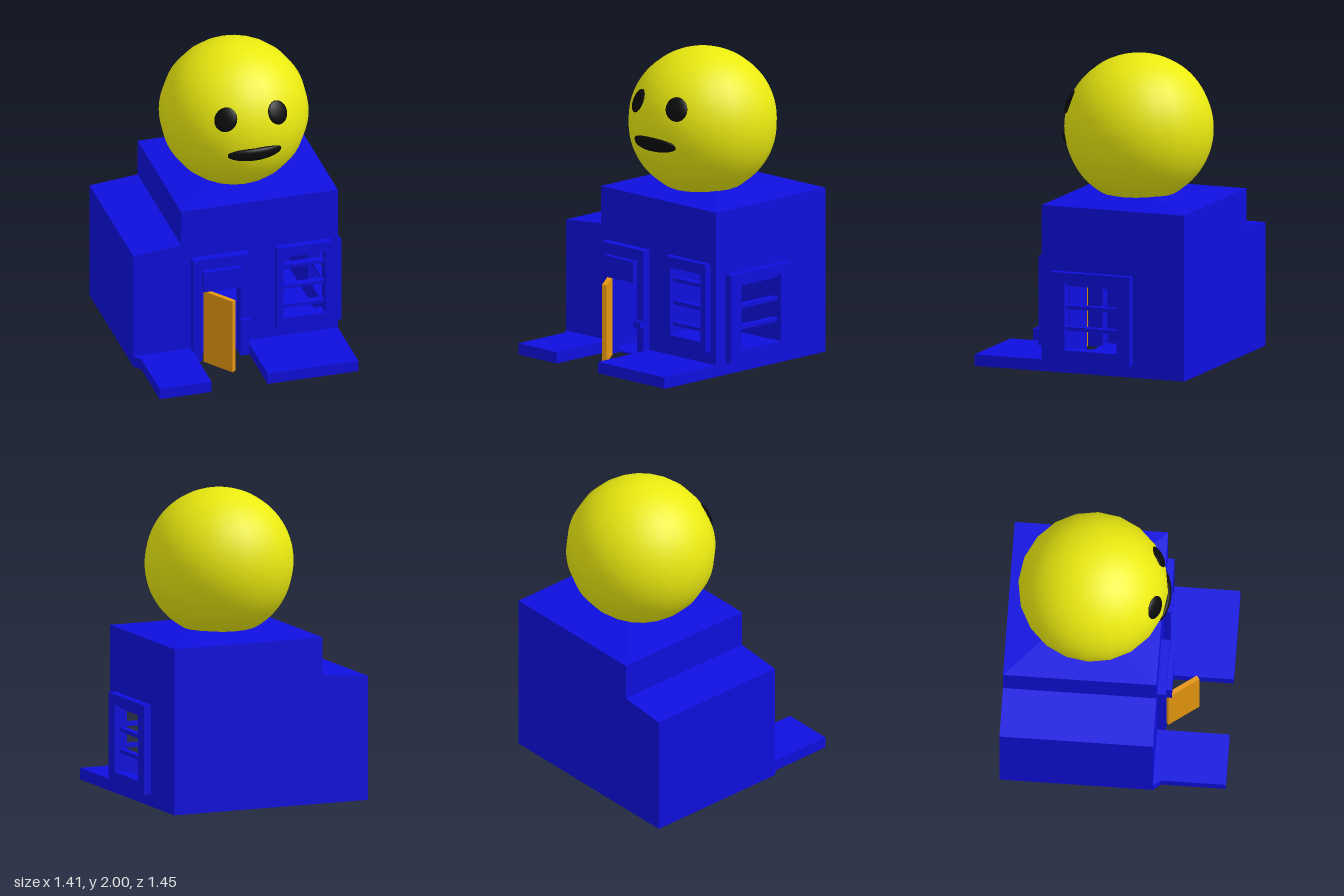
import * as THREE from 'three';

const mat = (color) => new THREE.MeshStandardMaterial({ color });
const blue = mat(0x0f0fe0), yellow = mat(0xeaea10), orange = mat(0xe6960f), black = mat(0x0a0a0a);

const poly = (pts) => pts.map(([x, y]) => new THREE.Vector2(x, y));
const rect = (x0, y0, x1, y1) => poly([[x0, y0], [x1, y0], [x1, y1], [x0, y1]]);

function extrude(outline, holes, depth) {
  const shape = new THREE.Shape(outline);
  for (const h of holes) shape.holes.push(new THREE.Path(h));
  return new THREE.ExtrudeGeometry(shape, { depth, bevelEnabled: false });
}

export function createModel() {
  const root = new THREE.Group();
  const add = (name, geo, material = blue, parent = root) => {
    const m = new THREE.Mesh(geo, material);
    m.name = name;
    parent.add(m);
    return m;
  };
  const box = (name, x0, x1, y0, y1, z0, z1, parent = root) =>
    add(name, new THREE.BoxGeometry(x1 - x0, y1 - y0, z1 - z0)
      .translate((x0 + x1) / 2, (y0 + y1) / 2, (z0 + z1) / 2), blue, parent);

  // Main body: hollow, with real openings
  const L = -0.39, R = 0.655, B = -0.725, F = 0.26, H = 1.08, T = 0.04;
  const doorway = poly([[L, 0], [-0.265, 0], [-0.265, 0.66], [-0.01, 0.66], [-0.01, 0], [R, 0], [R, H], [L, H]]);
  add('frontWall', extrude(doorway, [rect(0.28, 0.22, 0.56, 0.665)], T).translate(0, 0, F - T));
  // Profile x is -z once the wall is turned to face +x
  add('windowWall', extrude(rect(-F + T, 0, -B - T, H), [rect(-0.085, 0.155, 0.275, 0.595)], T)
    .rotateY(Math.PI / 2).translate(R - T, 0, 0));
  box('backWall', L, R, 0, H, B, B + T);
  box('innerWall', L, L + T, 0, H, B + T, F - T);
  box('floor', L + T, R - T, 0, 0.012, B + T, F - T);
  box('ceiling', L + T, R - T, H - T, H - 0.002, B + T, F - T);

  // Very low pyramid roof
  const roof = new THREE.ConeGeometry(Math.SQRT1_2, 0.04, 4, 1).rotateY(Math.PI / 4)
    .scale(R - L, 1, F - B).translate((L + R) / 2, H + 0.02, (F + B) / 2).toNonIndexed();
  roof.computeVertexNormals();
  add('roof', roof);

  // Lower side wing with a sloping roof
  add('sideWing', extrude(poly([[-0.71, 0], [L, 0], [L, 0.835], [-0.71, 0.805]]), [], F - B).translate(0, 0, B));

  // Front paving, outlined from above as (x, -z)
  const slab = (name, pts) => add(name, extrude(poly(pts), [], 0.075).rotateX(-Math.PI / 2));
  slab('leftPaving', [[-0.71, -F], [-0.67, -0.31], [-0.67, -0.725], [-0.325, -0.725], [-0.325, -F]]);
  slab('rightPaving', [[0.05, -F], [0.05, -0.725], [R, -0.725], [R, -F]]);

  // Window with slats, built facing +z about its lower middle
  function makeWindow(name, w, h, iw, y0, y1, depth) {
    const g = new THREE.Group();
    g.name = name;
    add('windowFrame', extrude(rect(-w / 2, 0, w / 2, h), [rect(-iw / 2, y0, iw / 2, y1)], depth), blue, g);
    for (const y of [0.29, 0.43, 0.58]) {
      const b = y - g.position.y - (h > 0.5 ? 0.155 * (name === 'frontWindow') + 0.08 * (name === 'sideWindow') : 0);
      box('windowSlat', -iw / 2, iw / 2, b - 0.012, b + 0.012, -0.03, 0.015, g);
    }
    root.add(g);
    return g;
  }
  makeWindow('frontWindow', 0.365, 0.58, 0.28, 0.065, 0.51, 0.045).position.set(0.42, 0.155, F);
  const side = makeWindow('sideWindow', 0.545, 0.58, 0.36, 0.075, 0.515, 0.05);
  side.position.set(R, 0.08, -0.0975);
  side.rotation.y = Math.PI / 2;

  // Entrance: frame, blank panel over it, latch and open door
  add('doorFrame', extrude(poly([[-0.325, 0], [-0.265, 0], [-0.265, 0.66], [-0.01, 0.66], [-0.01, 0],
    [0.05, 0], [0.05, 0.735], [-0.325, 0.735]]), [], 0.055).translate(0, 0, F));
  box('doorPanel', -0.265, -0.01, 0.52, 0.66, 0.285, 0.35);
  box('latch', -0.012, 0.05, 0.228, 0.27, 0.3, 0.345);
  const door = add('door', new THREE.BoxGeometry(0.235, 0.515, 0.03).translate(0.1175, 0.2575, 0), orange);
  door.position.set(-0.25, 0.002, 0.318);
  door.rotation.y = -0.94;

  // Round head
  const C = new THREE.Vector3(0.09, 1.52, -0.18), r = 0.48;
  add('head', new THREE.SphereGeometry(r, 20, 40), yellow).position.copy(C);

  // Face parts: flat ellipsoids bent to lie on the head
  function facePart(name, x, y, rx, ry, depth, tilt, square = 1) {
    const geo = new THREE.SphereGeometry(1, 28, 18);
    const p = geo.attributes.position;
    const c = Math.cos(tilt), s = Math.sin(tilt);
    for (let i = 0; i < p.count; i++) {
      const u = p.getX(i) * rx;
      const v = Math.sign(p.getY(i)) * Math.abs(p.getY(i)) ** square * ry;
      const dx = x + u * c - v * s, dy = y + u * s + v * c;
      p.setXYZ(i, dx, dy, Math.sqrt(r * r - dx * dx - dy * dy) + p.getZ(i) * depth);
    }
    geo.computeVertexNormals();
    add(name, geo, black).position.copy(C);
  }
  for (const s of [-1, 1]) facePart(s < 0 ? 'rightEye' : 'leftEye', s * 0.173, 0.168, 0.063, 0.08, 0.018, s * 0.65);
  facePart('mouth', 0.01, -0.078, 0.18, 0.047, 0.027, 0, 0.8);

  return root;
}
